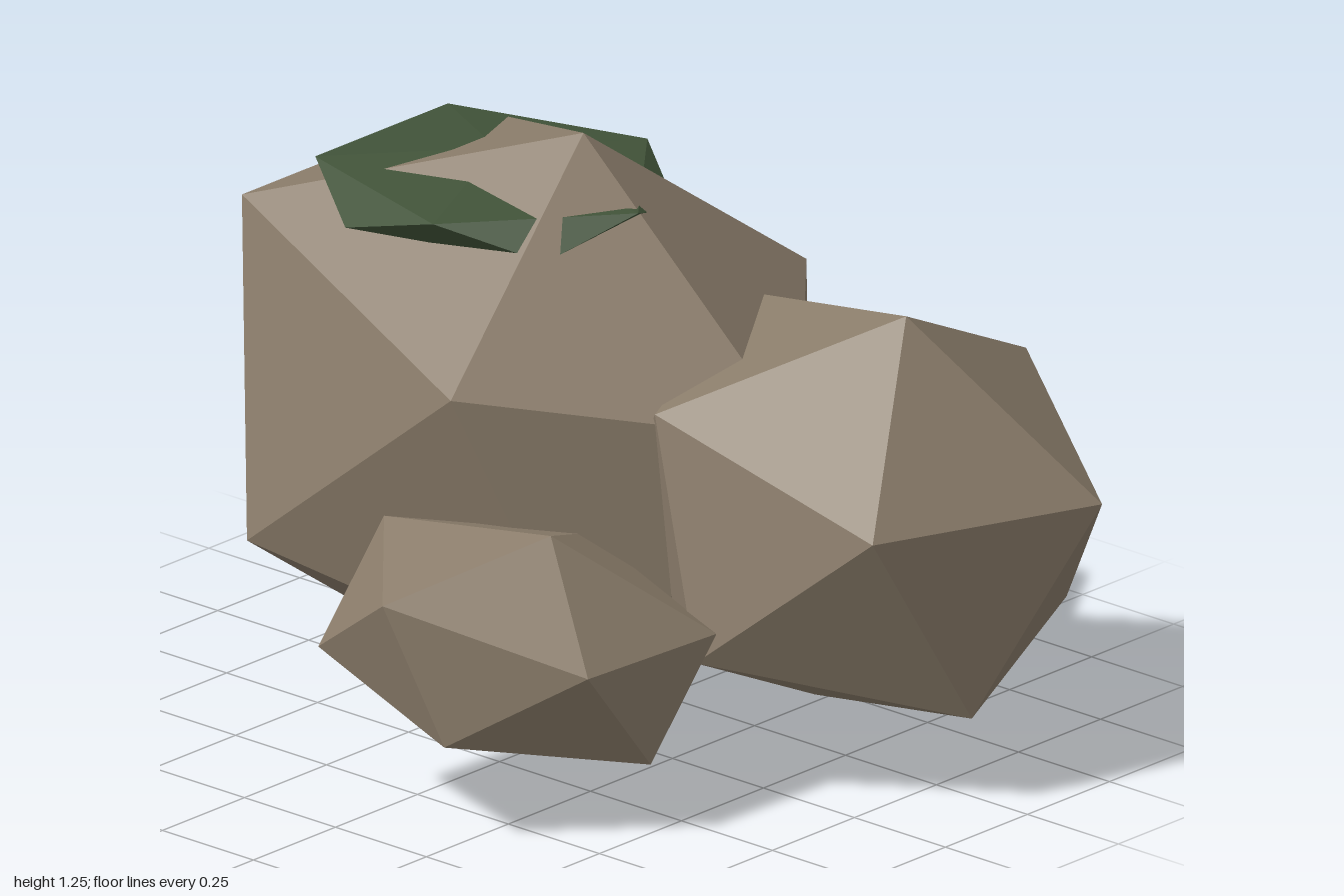
import * as THREE from 'three';

const T = (1 + Math.sqrt(5)) / 2;

// Stretched, tilted icosahedron: u, v, w are its local axes
function boulder(name, material, centre, u, v, w) {
  const geometry = new THREE.IcosahedronGeometry(Math.hypot(1, T), 0);
  const axes = [u, v, w].map((a) => new THREE.Vector3(...a));
  geometry.applyMatrix4(new THREE.Matrix4().makeBasis(...axes));
  geometry.computeVertexNormals();
  const mesh = new THREE.Mesh(geometry, material);
  mesh.name = name;
  mesh.position.set(...centre);
  return mesh;
}

export function createModel() {
  const group = new THREE.Group();
  group.name = 'mossyBoulders';

  const stone = new THREE.MeshStandardMaterial({ color: 0x8b7d6b, flatShading: true });
  stone.name = 'stone';
  const green = new THREE.MeshStandardMaterial({ color: 0x415339, flatShading: true });
  green.name = 'moss green';

  // Three overlapping boulders
  group.add(
    boulder('largeBoulder', stone, [-0.25, 0.622, -0.11],
      [0.297, -0.26, 0], [0.28, 0.225, 0], [0, 0, 0.335]),
    boulder('mediumBoulder', stone, [0.503, 0.533, -0.293],
      [-0.275, 0.08, 0.027], [0.05, 0.1155, 0.238], [0.051, 0.207, -0.142]),
    boulder('smallBoulder', stone, [0.206, 0.367, 0.424],
      [0.099, -0.116, 0.053], [0.12, 0.085, 0.035], [-0.115, 0.0425, 0.187])
  );

  // Moss cap: flattened icosahedron standing on a corner, sunk into the large boulder
  const cap = new THREE.IcosahedronGeometry(1, 0);
  cap.rotateX(-Math.atan(T));
  cap.rotateY(Math.PI / 2);
  cap.scale(0.436, 0.078, 0.384);
  cap.computeVertexNormals();
  const moss = new THREE.Mesh(cap, green);
  moss.name = 'mossCap';
  moss.position.set(-0.32, 1.082, -0.095);
  group.add(moss);

  return group;
}
